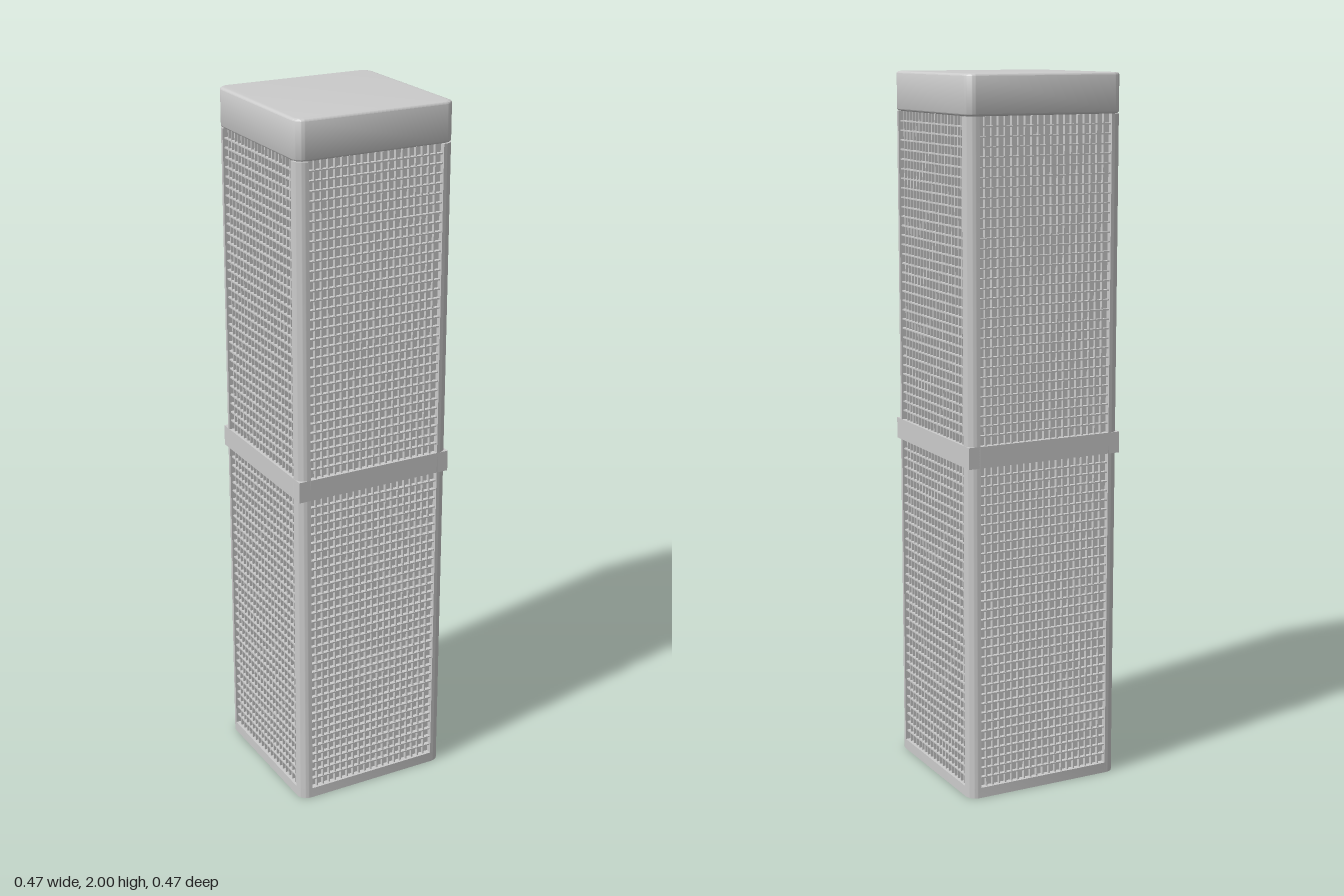
import * as THREE from 'three';
import { mergeGeometries, toCreasedNormals } from 'three/addons/utils/BufferGeometryUtils.js';

const H = 0.235;        // half width of the tower
const IN = 0.2;         // half width of each window field
const R = 0.032;        // corner rounding
const BASE = 0.03, BAND0 = 0.95, BAND1 = 1.01, CAP = 1.89, TOP = 2;

const material = new THREE.MeshStandardMaterial({ color: 0xcccccc, side: THREE.DoubleSide });

function squareShape(h, r) {
  const s = new THREE.Shape();
  s.moveTo(-h + r, -h);
  s.lineTo(h - r, -h);
  if (r) s.absarc(h - r, -h + r, r, -Math.PI / 2, 0);
  s.lineTo(h, h - r);
  if (r) s.absarc(h - r, h - r, r, 0, Math.PI / 2);
  s.lineTo(-h + r, h);
  if (r) s.absarc(-h + r, h - r, r, Math.PI / 2, Math.PI);
  s.lineTo(-h, -h + r);
  if (r) s.absarc(-h + r, -h + r, r, Math.PI, Math.PI * 1.5);
  return s;
}

// Extrudes a plan outline upwards from y0 to y1
function rise(shape, y0, y1, options = {}) {
  const g = new THREE.ExtrudeGeometry(shape, {
    depth: y1 - y0, bevelEnabled: false, curveSegments: 8, ...options,
  });
  g.rotateX(-Math.PI / 2);
  g.translate(0, y0, 0);
  return toCreasedNormals(g, 0.6);
}

function part(name, geometry) {
  const mesh = new THREE.Mesh(geometry, material);
  mesh.name = name;
  return mesh;
}

function ring(h, r, hole, y0, y1) {
  const s = squareShape(h, r);
  s.holes.push(squareShape(hole, 0));
  return rise(s, y0, y1);
}

// Corner post with a rounded outer edge
function postGeometry() {
  const s = new THREE.Shape();
  s.moveTo(IN, IN);
  s.lineTo(H, IN);
  s.lineTo(H, H - R);
  s.absarc(H - R, H - R, R, 0, Math.PI / 2);
  s.lineTo(IN, H);
  s.closePath();
  return rise(s, 0, CAP);
}

// Fine grid of thin fins over one window field
function gridGeometry(y0, y1) {
  const bars = [];
  const bar = (w, h, d, x, y) => {
    const g = new THREE.BoxGeometry(w, h, d);
    g.translate(x, y, 0.218);
    bars.push(g);
  };
  const rows = Math.round((y1 - y0) / 0.0268), columns = 20;
  for (let i = 1; i < rows; i++) {
    bar(2 * IN, 0.004, 0.024, 0, y0 + (i * (y1 - y0)) / rows);
  }
  for (let i = 1; i < columns; i++) {
    bar(0.004, y1 - y0, 0.02, -IN + (i * 2 * IN) / columns, (y0 + y1) / 2);
  }
  return mergeGeometries(bars);
}

export function createModel() {
  const model = new THREE.Group();
  model.name = 'tower';

  // Roof block with a softly bevelled top edge
  const bevel = 0.011;
  const roof = rise(squareShape(H - bevel, R - bevel), CAP + 0.006, TOP - 0.006, {
    bevelEnabled: true, bevelSize: bevel, bevelThickness: 0.006, bevelSegments: 4,
  });
  model.add(part('roofBlock', roof));

  // Square-cornered belt and the bottom rail
  model.add(part('middleBand', ring(H, 0, IN, BAND0, BAND1)));
  model.add(part('baseRail', ring(H, R, IN, 0, BASE)));

  // Four equal sides, each with a post and two window fields
  const post = postGeometry();
  const fields = [[BASE, BAND0, 'lower'], [BAND1, CAP, 'upper']].map(([y0, y1, label]) => {
    const pane = new THREE.BoxGeometry(2 * IN, y1 - y0, 0.004);
    pane.translate(0, (y0 + y1) / 2, 0.216);
    return { label, pane, grid: gridGeometry(y0, y1) };
  });
  ['front', 'left', 'back', 'right'].forEach((name, i) => {
    const side = new THREE.Group();
    side.name = name + 'Side';
    side.rotation.y = (i * Math.PI) / 2;
    side.add(part('cornerPost', post));
    for (const { label, pane, grid } of fields) {
      side.add(part(label + 'Pane', pane), part(label + 'WindowGrid', grid));
    }
    model.add(side);
  });
  return model;
}
